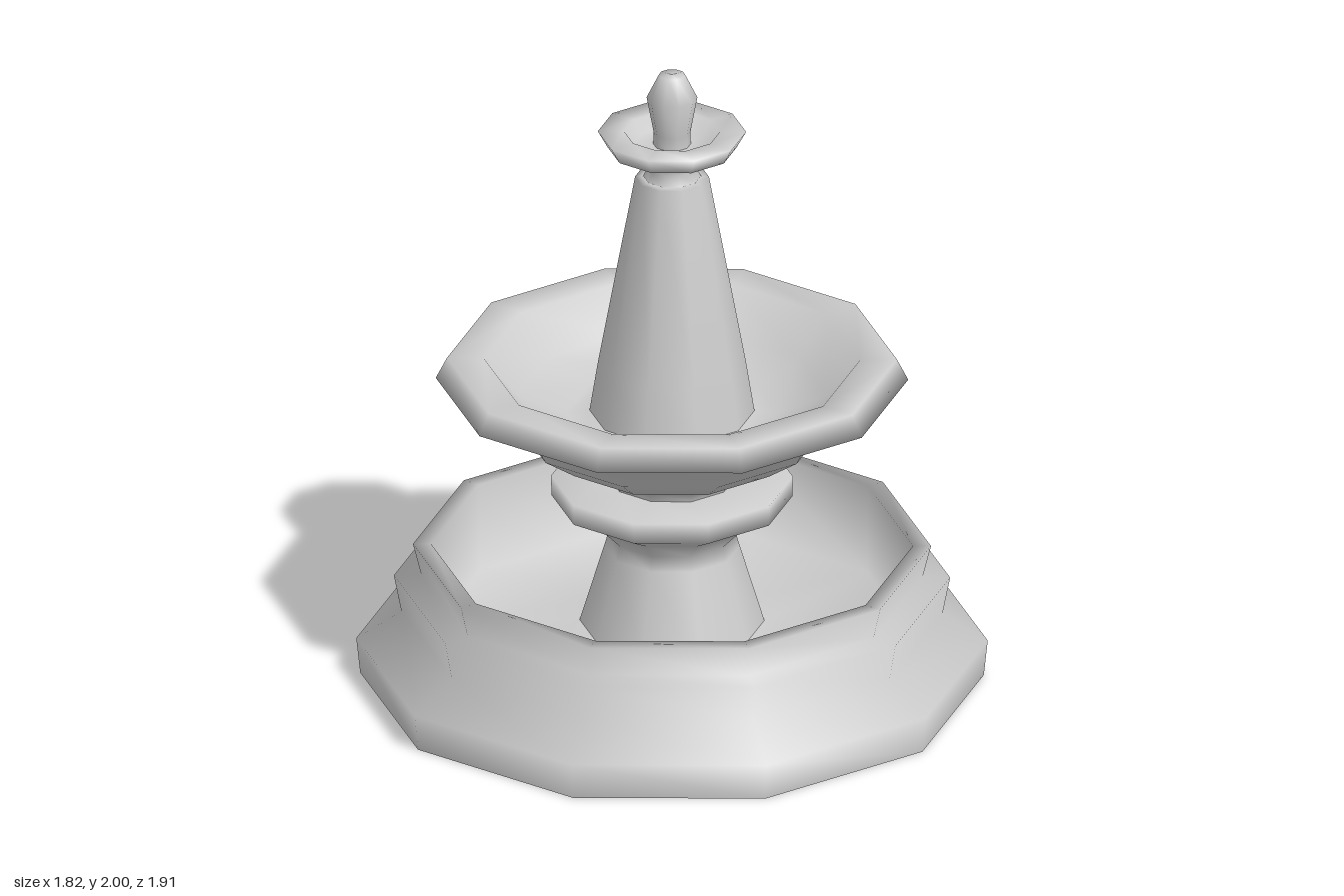
import * as THREE from 'three';

const SIDES = 10;

export function createModel() {
  const fountain = new THREE.Group();
  fountain.name = 'fountain';
  const stone = new THREE.MeshStandardMaterial({ color: 0xcccccc, side: THREE.DoubleSide });
  stone.name = 'pale stone';

  // Ten-sided, smoothly shaded turned shell; profile of [radius, height], outer wall running upwards
  function turned(name, profile) {
    const points = profile.map(([r, y]) => new THREE.Vector2(r, y));
    const mesh = new THREE.Mesh(new THREE.LatheGeometry(points, SIDES), stone);
    mesh.name = name;
    fountain.add(mesh);
  }

  // Stepped pool, open underneath
  turned('poolBasin', [
    [0.945, 0], [0.957, 0.115], [0.82, 0.205], [0.843, 0.325], [0.76, 0.328],
    [0.785, 0.43], [0.73, 0.43], [0.725, 0.146], [0.28, 0.18],
  ]);

  // Flared hollow foot carrying a small collar
  turned('pedestal', [
    [0.28, 0.18], [0.205, 0.43], [0.192, 0.475], [0.25, 0.535],
    [0.365, 0.595], [0.367, 0.66], [0.195, 0.66],
  ]);

  // Wide bowl with a broad lip, outside then inside
  turned('upperBowl', [
    [0.195, 0.66], [0.205, 0.69], [0.363, 0.757], [0.47, 0.83], [0.53, 0.94],
    [0.716, 0.985], [0.682, 1.052], [0.57, 1.05], [0.47, 0.93], [0.32, 0.87], [0.25, 0.88],
  ]);

  // Tapered shaft
  turned('column', [[0.25, 0.88], [0.223, 1.05], [0.112, 1.66], [0.088, 1.662]]);

  // Little dish on its neck
  turned('topDish', [
    [0.088, 1.662], [0.072, 1.695], [0.085, 1.735], [0.195, 1.757], [0.225, 1.81],
    [0.145, 1.81], [0.115, 1.77], [0.057, 1.77],
  ]);

  // Bud on top
  turned('finial', [[0.057, 1.77], [0.056, 1.81], [0.077, 1.925], [0.04, 2], [0, 2]]);

  return fountain;
}
